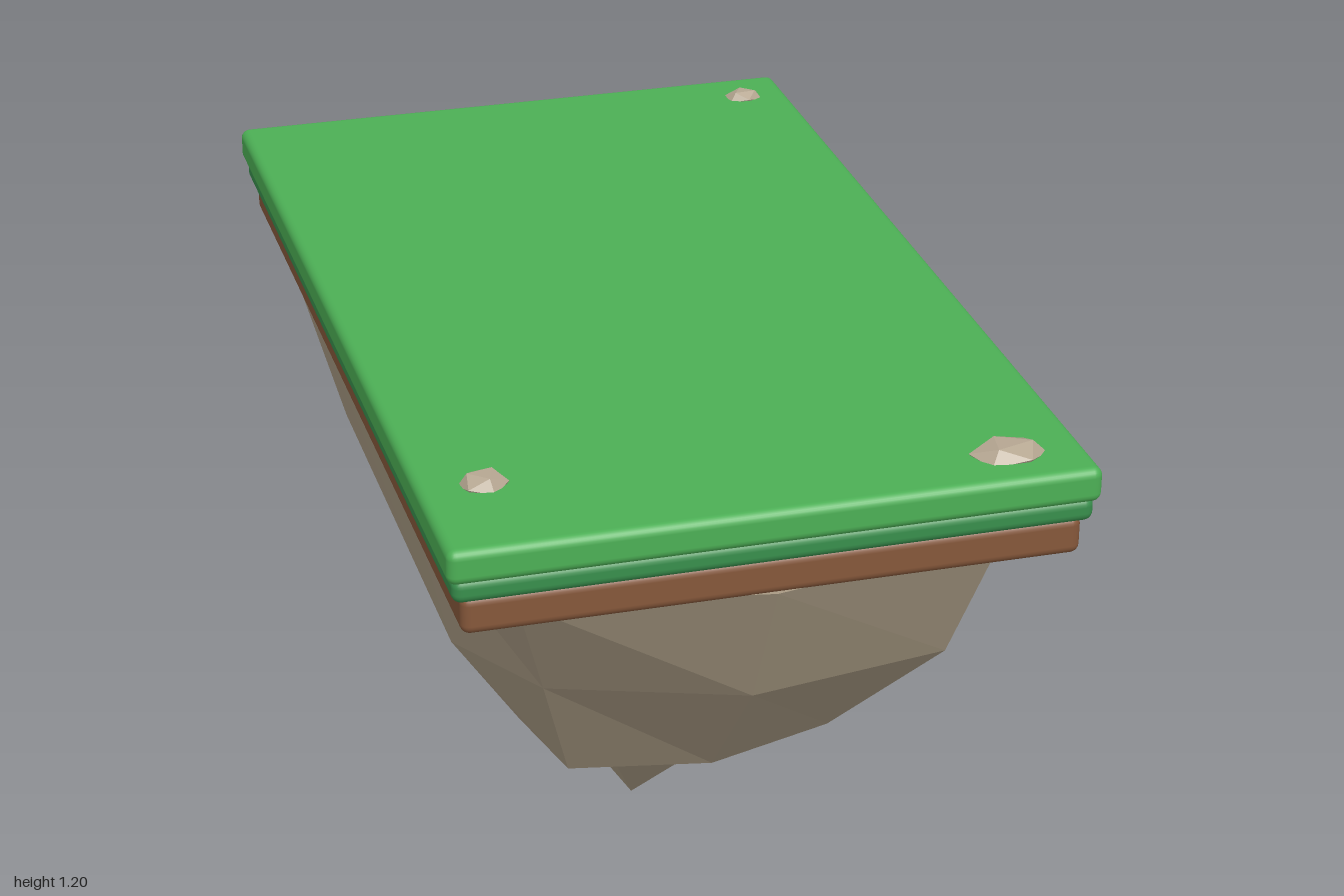
import * as THREE from 'three';
import { RoundedBoxGeometry } from 'three/addons/geometries/RoundedBoxGeometry.js';

const SIDES = 10;

function mat(color, flatShading = false) {
  return new THREE.MeshStandardMaterial({ color, flatShading });
}

// Rounded slab between two heights
function slab(name, width, depth, bottom, top, color) {
  const mesh = new THREE.Mesh(new RoundedBoxGeometry(width, top - bottom, depth, 3, 0.018), mat(color));
  mesh.name = name;
  mesh.position.y = (bottom + top) / 2;
  return mesh;
}

// Point on the squarish outline of the rock, counted from the front towards +x
function outline(i) {
  const t = (i / SIDES) * Math.PI * 2;
  const bend = (v) => (Math.abs(v) < 1e-6 ? 0 : Math.sign(v) * Math.abs(v) ** 0.45);
  return [0.578 * bend(Math.sin(t)), 0.98 * bend(Math.cos(t))];
}

// Faceted rock: rings of uneven radius narrowing to a point
function rockBody() {
  const rings = [
    { y: 1.004, r: Array(SIDES).fill(1) },
    { y: 0.715, r: [0.857, 0.872, 0.905, 0.88, 0.87, 0.934, 0.82, 0.86, 0.865, 0.8] },
    { y: 0.42, r: [0.6, 0.57, 0.565, 0.56, 0.53, 0.5, 0.6, 0.565, 0.565, 0.6] },
    { y: 0.17, r: [0.168, 0.18, 0.19, 0.18, 0.165, 0.165, 0.165, 0.18, 0.175, 0.165] },
  ];
  const points = [];
  for (const { y, r } of rings) {
    for (let i = 0; i < SIDES; i++) {
      const [x, z] = outline(i);
      points.push(x * r[i], y, z * r[i]);
    }
  }
  const tip = points.length / 3;
  points.push(0, 0, 0, 0, 1.004, 0);

  const faces = [];
  for (let i = 0; i < SIDES; i++) {
    const j = (i + 1) % SIDES;
    for (let k = 0; k < rings.length - 1; k++) {
      const up = k * SIDES;
      const low = up + SIDES;
      faces.push(up + i, low + i, low + j, up + i, low + j, up + j);
    }
    const last = (rings.length - 1) * SIDES;
    faces.push(last + i, tip, last + j, tip + 1, i, j);
  }
  const indexed = new THREE.BufferGeometry();
  indexed.setAttribute('position', new THREE.Float32BufferAttribute(points, 3));
  indexed.setIndex(faces);
  const geometry = indexed.toNonIndexed();
  geometry.computeVertexNormals();
  const mesh = new THREE.Mesh(geometry, mat(0xa89a83, true));
  mesh.name = 'rockBody';
  return mesh;
}

// Small flattened pebble
function pebble(x, z, width, depth, height, turn) {
  const geometry = new THREE.IcosahedronGeometry(1, 0);
  geometry.rotateX(0.35);
  geometry.rotateY(turn);
  geometry.scale(width / 2, height, depth / 2);
  geometry.computeVertexNormals();
  const mesh = new THREE.Mesh(geometry, mat(0xb5a691, true));
  mesh.name = 'pebble';
  mesh.position.set(x, 1.18, z);
  return mesh;
}

export function createModel() {
  const group = new THREE.Group();
  group.name = 'floatingIsland';

  // Layered ground
  group.add(
    slab('grassTop', 1.2, 2, 1.112, 1.18, 0x4caf55),
    slab('grassUnderlayer', 1.18, 1.98, 1.07, 1.118, 0x388e4c),
    slab('soilLayer', 1.146, 1.954, 1.0, 1.076, 0x85573a),
  );

  group.add(rockBody());

  // Pebbles near three corners
  group.add(
    pebble(0.455, 0.895, 0.15, 0.105, 0.028, 0.4),
    pebble(-0.48, 0.76, 0.095, 0.085, 0.026, 1.3),
    pebble(0.5, -0.885, 0.085, 0.06, 0.02, 2.2),
  );
  return group;
}
